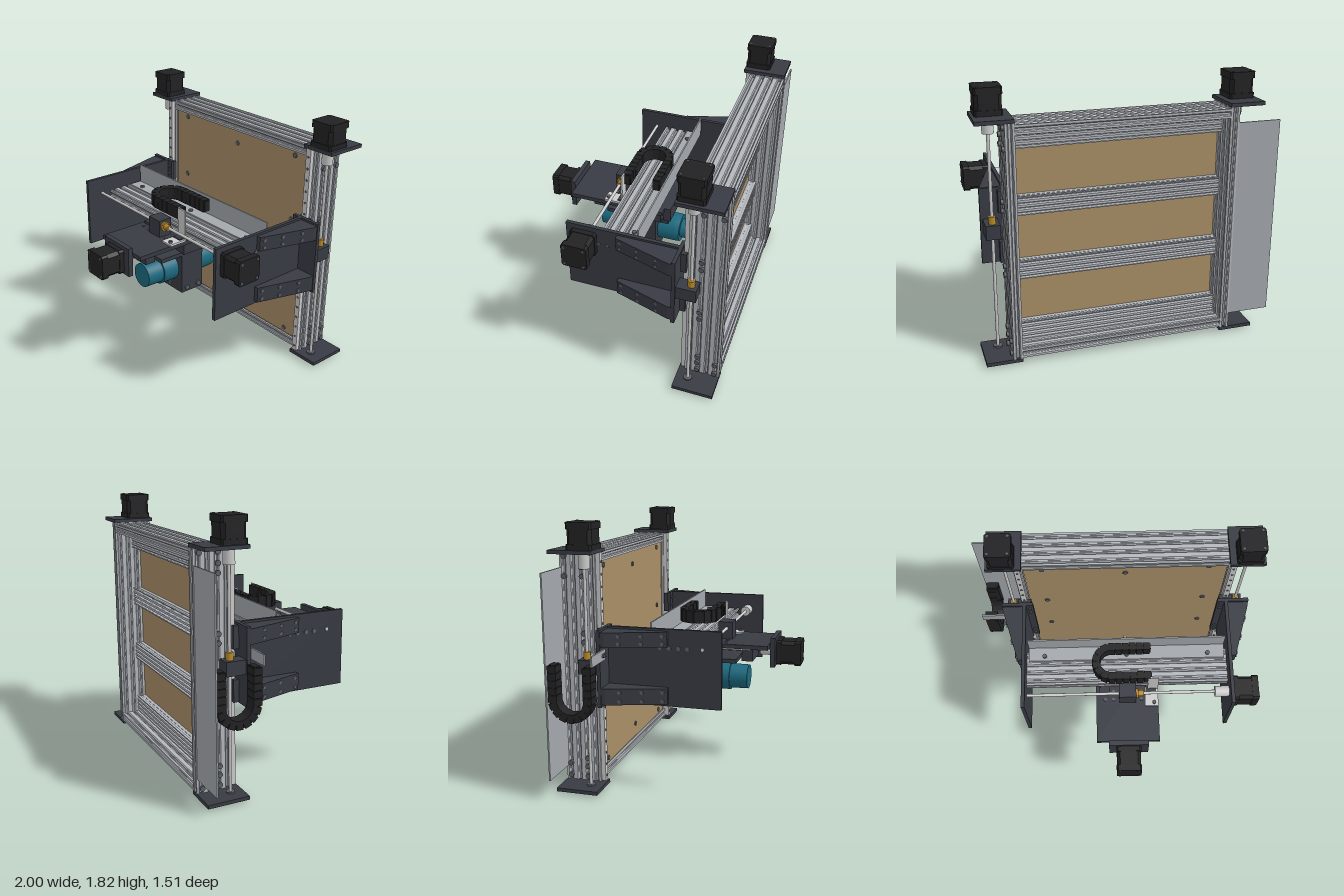
import * as THREE from 'three';

const mat = (color) => new THREE.MeshStandardMaterial({ color });
const ALU = mat(0xb4b8be), SHEET = mat(0xa3a8ad), STEEL = mat(0xcccccc), DARK = mat(0x383b43),
  BLACK = mat(0x222224), WOOD = mat(0xa88e66), TEAL = mat(0x1d6a80), BRASS = mat(0xb88a2a), BOLT = mat(0x5c6066);
const V = (x, y, z) => new THREE.Vector3(x, y, z);
const MID = 0.06; // mirror plane of the frame

export function createModel() {
  const root = new THREE.Group();
  const add = (name, geo, material, parent = root) => {
    const m = new THREE.Mesh(geo, material);
    m.name = name;
    parent.add(m);
    return m;
  };
  // Box from its two extents on each axis
  const box = (name, material, x0, x1, y0, y1, z0, z1) =>
    add(name, new THREE.BoxGeometry(Math.abs(x1 - x0), y1 - y0, z1 - z0)
      .translate((x0 + x1) / 2, (y0 + y1) / 2, (z0 + z1) / 2), material);
  // Cylinder from point a to point b
  const rod = (name, material, a, b, r, sides = 24, r2 = r) => {
    const d = b.clone().sub(a);
    const m = add(name, new THREE.CylinderGeometry(r2, r, d.length(), sides), material);
    m.quaternion.setFromUnitVectors(V(0, 1, 0), d.normalize());
    m.position.copy(a).add(b).multiplyScalar(0.5);
    return m;
  };
  const bolt = (x, y, z, dir, r = 0.015, h = 0.014) =>
    rod('bolt', BOLT, V(x, y, z), V(x, y, z).addScaledVector(dir, h), r, 12);

  // Four-slot aluminium extrusion section, 0.25 by 0.06
  const profile = () => {
    const hw = 0.125, hh = 0.031, pts = [];
    const slot = (cx, cy, dx, dy) => { // dx, dy is the walking direction; inward is its left
      const nx = -dy, ny = dx;
      for (const [t, n] of [[-0.016, 0], [-0.009, 0.006], [-0.009, 0.010], [-0.014, 0.010], [-0.007, 0.018],
        [0.007, 0.018], [0.014, 0.010], [0.009, 0.010], [0.009, 0.006], [0.016, 0]])
        pts.push(new THREE.Vector2(cx + dx * t + nx * n, cy + dy * t + ny * n));
    };
    const corner = (x, y) => pts.push(new THREE.Vector2(x, y));
    const u = [-0.094, -0.031, 0.031, 0.094];
    corner(-hw, -hh); u.forEach((c) => slot(c, -hh, 1, 0));
    corner(hw, -hh); slot(hw, 0, 0, 1);
    corner(hw, hh); u.forEach((c) => slot(-c, hh, -1, 0));
    corner(-hw, hh); slot(-hw, 0, 0, -1);
    return new THREE.Shape(pts);
  };
  const beamShape = profile();
  const beam = (name, len, pos, u, v, w, scaleU = 1) => {
    const g = new THREE.ExtrudeGeometry(beamShape, { depth: len, bevelEnabled: false });
    g.translate(0, 0, -len / 2).scale(scaleU, 1, 1);
    g.applyMatrix4(new THREE.Matrix4().makeBasis(u, v, w));
    add(name, g, ALU).position.copy(pos);
  };
  const X = V(1, 0, 0), Y = V(0, 1, 0), Z = V(0, 0, 1), NY = V(0, -1, 0);

  // Stepper motor: chamfered body from its mounting face along dir
  const motor = (name, face, dir) => {
    const g = new THREE.Group();
    g.name = name;
    const section = (h, c) => new THREE.Shape([[-h + c, -h], [h - c, -h], [h, -h + c], [h, h - c], [h - c, h],
      [-h + c, h], [-h, h - c], [-h, -h + c]].map((p) => new THREE.Vector2(...p)));
    for (const [z, d, h, c] of [[0, 0.035, 0.088, 0.012], [0.035, 0.095, 0.084, 0.022], [0.13, 0.045, 0.088, 0.012]])
      add('motorSection', new THREE.ExtrudeGeometry(section(h, c), { depth: d, bevelEnabled: false }).translate(0, 0, z), BLACK, g);
    for (const sx of [-1, 1]) for (const sy of [-1, 1])
      add('motorScrew', new THREE.CylinderGeometry(0.009, 0.009, 0.006, 10).rotateX(Math.PI / 2)
        .translate(sx * 0.066, sy * 0.066, 0.176), BOLT, g);
    g.quaternion.setFromUnitVectors(Z, dir);
    g.position.copy(face);
    root.add(g);
  };

  // U-shaped cable chain; legs run along local x, links are wide along local z
  const chain = (name, pos, u, v, w, r, legA, legB, thick, width) => {
    const g = new THREE.Group();
    g.name = name;
    const arc = Math.PI * r, total = legA + arc + legB, n = Math.round(total / 0.05), step = total / n;
    for (let i = 0; i < n; i++) {
      const s = (i + 0.5) * step;
      let x, y, a = 0;
      if (s < legA) [x, y] = [legA - s, -r];
      else if (s > legA + arc) [x, y] = [s - legA - arc, r];
      else {
        a = (s - legA) / r;
        [x, y] = [-Math.sin(a) * r, -Math.cos(a) * r];
      }
      const link = add('chainLink', new THREE.BoxGeometry(step * 0.93, thick, width), BLACK, g);
      const core = add('chainJoint', new THREE.BoxGeometry(step * 1.2, thick * 0.7, width * 0.85), BLACK, g);
      for (const m of [link, core]) { m.position.set(x, y, 0); m.rotation.z = -a; }
    }
    g.quaternion.setFromRotationMatrix(new THREE.Matrix4().makeBasis(u, v, w));
    g.position.copy(pos);
    root.add(g);
  };

  // Bed frame: deep beams at both ends, flat cross beams behind the board
  for (const y of [0.075, 1.58]) beam('endBeam', 1.405, V(MID, y, -0.63), Z, NY, X);
  for (const y of [0.17, 0.61, 1.05, 1.49]) beam('crossBeam', 1.405, V(MID, y, -0.597), Y, Z, X, 0.5);
  box('bedBoard', WOOD, -0.64, 0.76, 0.105, 1.55, -0.565, -0.525);
  for (const [dx, y] of [[-1, 1.515], [1, 1.515], [0, 1.45], [-1, 1.04], [1, 1.04], [-1, 0.64], [1, 0.64],
    [0, 0.205], [-1, 0.14], [1, 0.14]]) bolt(MID + dx * 0.573, y, -0.526, Z, 0.018, 0.008);

  // Everything paired left and right
  for (const s of [-1, 1]) {
    const at = (d) => MID + s * d;
    const out = V(s, 0, 0);
    beam('sidePost', 1.58, V(at(0.7325), 0.83, -0.63), Z, X, Y);
    box('linearRail', STEEL, at(0.712), at(0.753), 0.045, 1.615, -0.505, -0.475);
    for (let y = 0.08; y < 1.6; y += 0.082) bolt(at(0.7325), y, -0.476, Z, 0.009, 0.004);
    for (const y of [1.59, 1.52, 1.46, 1.08, 1.02, 0.64, 0.58, 0.205, 0.145, 0.075]) bolt(at(0.763), y, -0.595, out, 0.018, 0.018);
    for (const y of [1.59, 1.458, 0.16, 0.075]) bolt(at(0.763), y, -0.72, out, 0.018, 0.018);
    box('bottomEndPlate', DARK, at(0.70), at(0.94), 0.015, 0.04, -0.755, -0.465);
    box('topEndPlate', DARK, at(0.70), at(0.94), 1.62, 1.645, -0.755, -0.46);

    // Vertical drive
    const sx = at(0.8325);
    motor('verticalMotor', V(sx, 1.645, -0.55), Y);
    rod('verticalCoupler', STEEL, V(sx, 1.52, -0.55), V(sx, 1.62, -0.55), 0.038);
    rod('verticalScrew', STEEL, V(sx, 0, -0.55), V(sx, 1.53, -0.55), 0.011, 16);
    rod('screwBearing', BOLT, V(sx, 0.008, -0.55), V(sx, 0.05, -0.55), 0.03);
    box('verticalNutBlock', DARK, at(0.785), at(0.88), 0.83, 0.925, -0.595, -0.45);
    rod('verticalNut', BRASS, V(sx, 0.925, -0.55), V(sx, 0.975, -0.55), 0.024);

    // Gantry side: plate, mounting flange and tapered gussets
    for (const y of [0.62, 0.97]) box('bearingBlock', DARK, at(0.685), at(0.78), y, y + 0.15, -0.497, -0.46);
    box('gantryFlange', DARK, at(0.67), at(0.895), 0.615, 1.135, -0.46, -0.435);
    for (const y of [0.66, 0.72, 1.03, 1.09]) for (const d of [0.695, 0.85]) bolt(at(d), y, -0.436, Z, 0.012, 0.01);
    box('gantrySidePlate', DARK, at(0.72), at(0.745), 0.615, 1.135, -0.455, 0.335);
    for (const [y0, y1] of [[0.635, 0.745], [1.02, 1.12]]) {
      const tri = new THREE.Shape([[at(0.745), 0.44], [at(0.89), 0.44], [at(0.89), 0.41], [at(0.775), 0.02], [at(0.745), 0.02]]
        .map((p) => new THREE.Vector2(...p)));
      add('gusset', new THREE.ExtrudeGeometry(tri, { depth: y1 - y0, bevelEnabled: false })
        .rotateX(-Math.PI / 2).translate(0, y0, 0), DARK);
      for (const z of [-0.05, -0.18, -0.32]) for (const y of [y0 + 0.025, y1 - 0.025])
        bolt(at(0.775 + (-z - 0.02) * 0.295 - 0.004), y, z, out, 0.013, 0.01);
    }
    for (const z of [-0.075, -0.015, 0.05, 0.11]) bolt(at(0.744), 1.01, z, out, 0.014, 0.008);
  }

  // Cable tray and vertical chain
  box('cablePanel', SHEET, -1, -0.70, 0.14, 1.515, -0.75, -0.74);
  box('chainBracket', SHEET, -1, -0.77, 0.93, 1.0, -0.434, -0.422);
  for (const x of [-0.82, -0.79]) bolt(x, 0.965, -0.423, Z, 0.014);
  chain('verticalChain', V(-0.945, 0.695, -0.587), Y, Z, X, 0.12, 0.225, 0.225, 0.058, 0.09);

  // Gantry beam with angle sheet and horizontal chain
  beam('gantryBeam', 1.44, V(MID, 0.986, 0.01), Z, NY, X);
  box('angleLedge', SHEET, -0.645, 0.765, 1.017, 1.027, -0.15, -0.045);
  box('angleUpright', SHEET, -0.645, 0.765, 1.017, 1.165, -0.155, -0.145);
  for (const x of [-0.53, 0.06, 0.645]) bolt(x, 1.026, -0.08, Y, 0.016);
  chain('horizontalChain', V(-0.05, 1.12, 0.02), X, Z, NY, 0.108, 0.275, 0.275, 0.055, 0.09);
  box('chainArm', STEEL, 0.205, 0.28, 0.95, 1.165, 0.145, 0.157);
  box('chainArmFoot', STEEL, 0.185, 0.28, 0.935, 0.947, 0.145, 0.285);
  bolt(0.25, 0.947, 0.26, Y, 0.014);

  // Horizontal drive
  motor('horizontalMotor', V(0.805, 1.012, 0.21), X);
  rod('horizontalCoupler', STEEL, V(0.68, 1.012, 0.21), V(0.785, 1.012, 0.21), 0.038);
  rod('horizontalScrew', STEEL, V(-0.69, 1.012, 0.21), V(0.69, 1.012, 0.21), 0.011, 16);
  box('horizontalNutBlock', DARK, 0, 0.12, 0.935, 1.06, 0.15, 0.255);
  rod('horizontalNut', BRASS, V(0.12, 1.012, 0.21), V(0.135, 1.012, 0.21), 0.034);
  rod('horizontalNutTip', BRASS, V(0.135, 1.012, 0.21), V(0.175, 1.012, 0.21), 0.022);

  // Tool carriage under the beam
  box('carriagePlate', DARK, -0.165, 0.28, 0.905, 0.935, -0.15, 0.54);
  for (const x of [-0.1, -0.04, 0.16]) for (const z of [0.17, 0.23]) bolt(x, 0.934, z, Y, 0.012, 0.008);
  box('rearCarriageBlock', DARK, -0.11, 0.23, 0.83, 0.935, -0.195, -0.14);
  for (const s of [-1, 1]) {
    box('toolRail', STEEL, MID + s * 0.1, MID + s * 0.135, 0.875, 0.905, -0.18, 0.4);
    box('toolBearing', DARK, MID + s * 0.075, MID + s * 0.17, 0.8, 0.885, -0.12, 0.12);
    box('carriageRunner', DARK, MID + s * 0.13, MID + s * 0.205, 0.895, 0.955, 0.137, 0.19);
  }
  box('screwSupport', DARK, -0.05, 0.17, 0.79, 0.905, 0.335, 0.415);
  box('toolMotorPlate', DARK, -0.08, 0.20, 0.765, 0.975, 0.545, 0.58);
  box('toolMotorRib', DARK, -0.08, 0.20, 0.895, 0.91, 0.42, 0.55);
  motor('toolMotor', V(0.058, 0.86, 0.58), Z);
  rod('toolCoupler', STEEL, V(MID, 0.86, 0.455), V(MID, 0.86, 0.555), 0.038);
  rod('toolScrew', STEEL, V(MID, 0.86, -0.15), V(MID, 0.86, 0.46), 0.011, 16);

  // Spindle clamp with round bore, and the turned spindle body
  box('toolSlide', DARK, -0.08, 0.20, 0.775, 0.805, -0.17, 0.3);
  const clamp = new THREE.Shape([[-0.14, -0.173], [0.14, -0.173], [0.14, 0.127], [-0.14, 0.127]].map((p) => new THREE.Vector2(...p)));
  clamp.holes.push(new THREE.Path().absarc(0, 0, 0.102, 0, Math.PI * 2, true));
  add('spindleClamp', new THREE.ExtrudeGeometry(clamp, { depth: 0.19, bevelEnabled: false, curveSegments: 24 }), DARK)
    .position.set(MID, 0.648, -0.075);
  for (const s of [-1, 1]) for (const z of [0.07, -0.035]) bolt(MID + s * 0.139, 0.51, z, V(s, 0, 0), 0.018);
  box('clampSlot', SHEET, 0.056, 0.064, 0.49, 0.545, 0.1, 0.118);
  for (const [z0, z1, r0, r1] of [[0.24, 0.37, 0.09, 0.088], [-0.2, 0.24, 0.103, 0.103], [-0.235, -0.2, 0.1, 0.103],
    [-0.28, -0.235, 0.07, 0.07], [-0.328, -0.28, 0.03, 0.045]])
    rod('spindleBody', TEAL, V(MID, 0.648, z0), V(MID, 0.648, z1), r0, 40, r1);
  rod('cutter', STEEL, V(MID, 0.648, -0.385), V(MID, 0.648, -0.32), 0.01, 12);
  return root;
}
